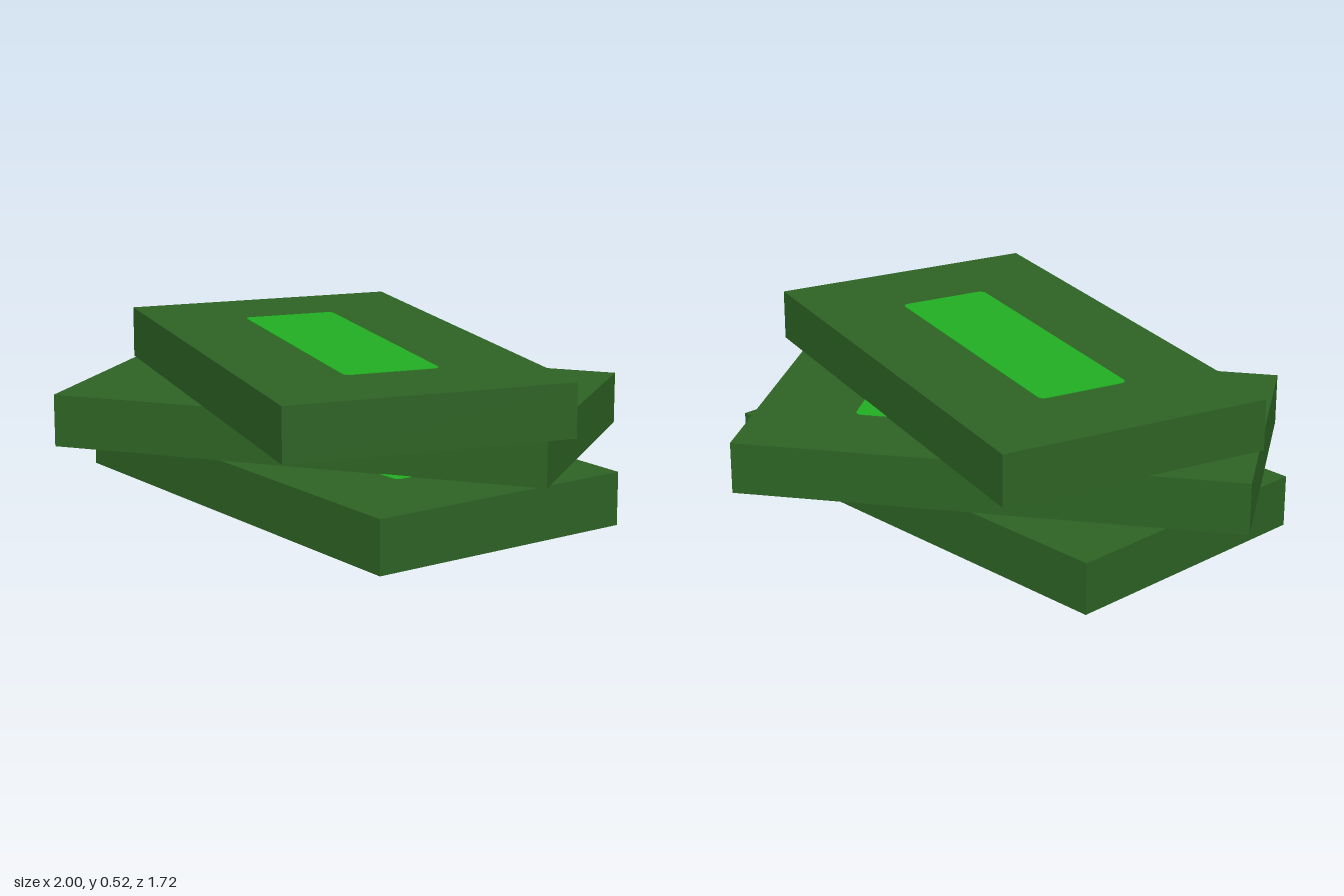
import * as THREE from 'three';

const LENGTH = 1.66, WIDTH = 0.934, HEIGHT = 0.1735;

// Rounded rectangle centred on the origin
function roundedRect(w, h, r) {
  const x = w / 2, y = h / 2, s = new THREE.Shape();
  s.absarc(x - r, y - r, r, 0, Math.PI / 2);
  s.absarc(-x + r, y - r, r, Math.PI / 2, Math.PI);
  s.absarc(-x + r, -y + r, r, Math.PI, Math.PI * 1.5);
  s.absarc(x - r, -y + r, r, Math.PI * 1.5, Math.PI * 2);
  s.closePath();
  return s;
}

export function createModel() {
  const model = new THREE.Group();
  model.name = 'slabStack';

  const darkGreen = new THREE.MeshStandardMaterial({ color: 0x2d6324 });
  darkGreen.name = 'darkGreen';
  const brightGreen = new THREE.MeshStandardMaterial({ color: 0x22ad22 });
  brightGreen.name = 'brightGreen';

  const slabGeometry = new THREE.BoxGeometry(LENGTH, HEIGHT, WIDTH);
  // Thin painted panel lying on the top face
  const panelGeometry = new THREE.ExtrudeGeometry(roundedRect(1.0, 0.315, 0.022), {
    depth: 0.002, bevelEnabled: false, curveSegments: 4,
  });
  panelGeometry.rotateX(-Math.PI / 2);

  // Slabs from bottom to top, each turned differently
  const slabs = [
    { name: 'bottomSlab', x: 0.04, z: 0.055, turn: 0 },
    { name: 'middleSlab', x: -0.053, z: -0.002, turn: 35 },
    { name: 'topSlab', x: 0.069, z: 0.098, turn: -16 },
  ];
  slabs.forEach(({ name, x, z, turn }, i) => {
    const group = new THREE.Group();
    group.name = name;
    group.position.set(x, i * HEIGHT, z);
    group.rotation.y = THREE.MathUtils.degToRad(turn);

    const body = new THREE.Mesh(slabGeometry, darkGreen);
    body.name = name + 'Body';
    body.position.y = HEIGHT / 2;

    const panel = new THREE.Mesh(panelGeometry, brightGreen);
    panel.name = name + 'Panel';
    panel.position.y = HEIGHT;

    group.add(body, panel);
    model.add(group);
  });
  return model;
}
